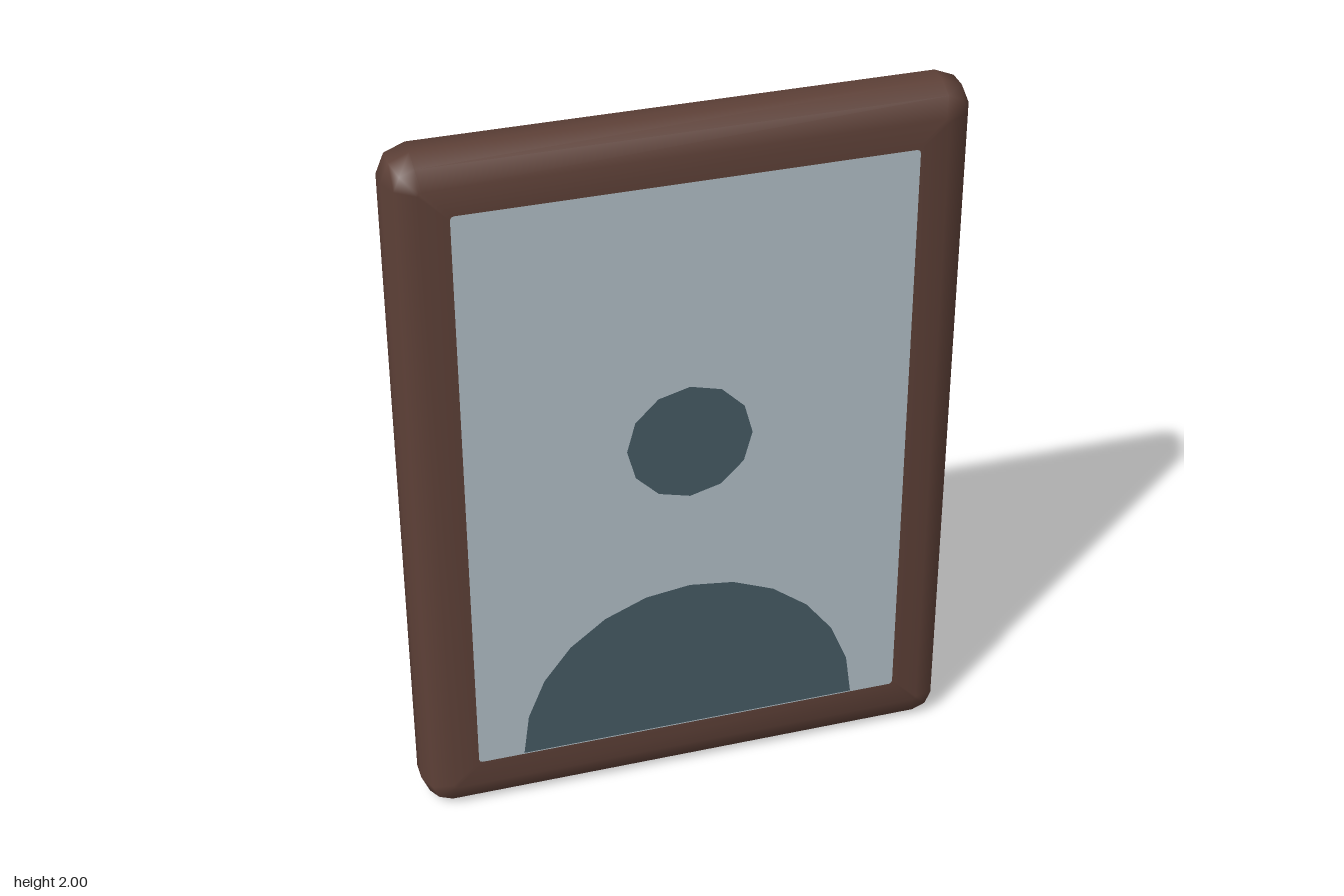
import * as THREE from 'three';

const FRONT_Z = 0.071;

// Rounded rectangle outline, counter-clockwise, starting at the top right corner
function outline(inset, arcSteps = 2) {
  const halfW = 0.75 - inset, halfH = 1 - inset;
  const r = Math.max(0.01, 0.075 - inset);
  const points = [];
  for (let corner = 0; corner < 4; corner++) {
    const sx = corner === 0 || corner === 3 ? 1 : -1;
    const sy = corner < 2 ? 1 : -1;
    for (let k = 0; k <= arcSteps; k++) {
      const a = (corner + k / arcSteps) * Math.PI / 2;
      points.push(new THREE.Vector2(
        sx * (halfW - r) + r * Math.cos(a),
        1 + sy * (halfH - r) + r * Math.sin(a)));
    }
  }
  return points;
}

// Bevelled frame lofted from back to front, ending at the picture opening
function frameGeometry() {
  const rings = [ // z, inset
    [-0.074, 0.025], [-0.055, 0], [0, 0], [0.051, 0.022], [FRONT_Z, 0.075], [FRONT_Z, 0.15],
  ];
  const positions = [], index = [];
  for (const [z, inset] of rings) {
    for (const p of outline(inset)) positions.push(p.x, p.y, z);
  }
  const n = 12;
  for (let j = 0; j < rings.length - 1; j++) {
    for (let i = 0; i < n; i++) {
      const a = j * n + i, b = j * n + (i + 1) % n;
      index.push(a, b, b + n, a, b + n, a + n);
    }
  }
  const geometry = new THREE.BufferGeometry();
  geometry.setAttribute('position', new THREE.Float32BufferAttribute(positions, 3));
  geometry.setIndex(index);
  geometry.computeVertexNormals();

  // Back panel shares the softly rolled normals of the rim
  const rows = [[2, 3], [1, 4], [0, 5], [11, 6], [10, 7], [9, 8]];
  for (let k = 0; k < rows.length - 1; k++) {
    const [r1, l1] = rows[k], [r2, l2] = rows[k + 1];
    index.push(l1, r2, l2, l1, r1, r2);
  }
  geometry.setIndex(index);
  return geometry;
}

export function createModel() {
  const brown = new THREE.MeshStandardMaterial({ name: 'frame brown', color: 0x5d4037 });
  const paleGrey = new THREE.MeshStandardMaterial({ name: 'pale blue grey', color: 0xb0bec5 });
  const darkGrey = new THREE.MeshStandardMaterial({ name: 'dark blue grey', color: 0x455a64 });

  const group = new THREE.Group();
  group.name = 'framedPortrait';
  const add = (name, geometry, material, x, y, z) => {
    const mesh = new THREE.Mesh(geometry, material);
    mesh.name = name;
    mesh.position.set(x, y, z);
    group.add(mesh);
  };

  add('frame', frameGeometry(), brown, 0, 0, 0);
  // Picture fills the opening flush with the frame
  add('picture', new THREE.ShapeGeometry(new THREE.Shape(outline(0.15))), paleGrey, 0, 0, FRONT_Z);
  // Portrait silhouette
  add('head', new THREE.CircleGeometry(0.17, 12), darkGrey, 0, 1.09, FRONT_Z + 0.002);
  add('shoulders', new THREE.CircleGeometry(0.473, 12, 0, Math.PI), darkGrey, 0, 0.155, FRONT_Z + 0.002);
  return group;
}
